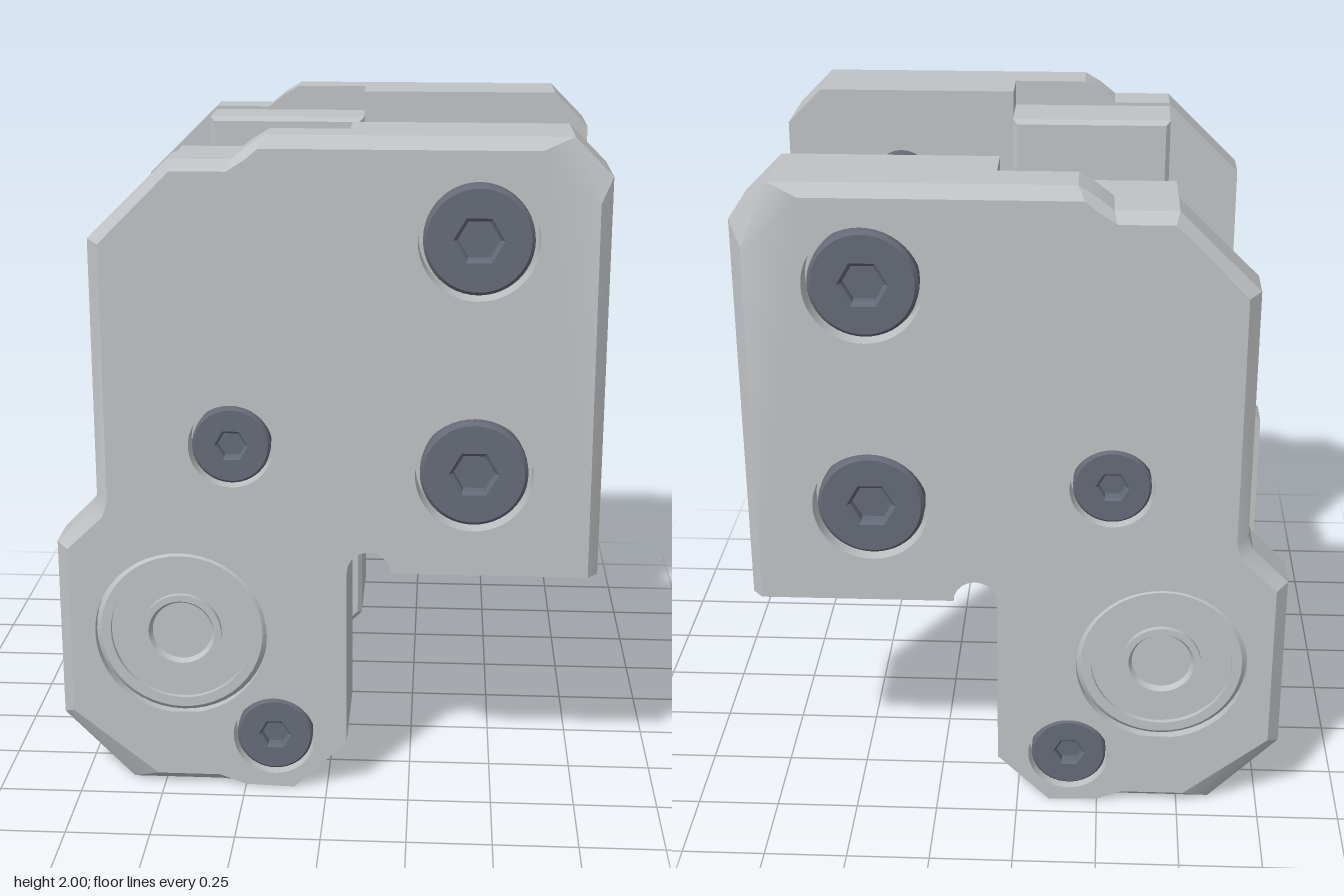
import * as THREE from 'three';
import { toCreasedNormals } from 'three/addons/utils/BufferGeometryUtils.js';

const metal = new THREE.MeshStandardMaterial({ color: 0xc0c2c4 });
metal.name = 'light grey metal';
const steel = new THREE.MeshStandardMaterial({ color: 0x666b78 });
steel.name = 'dark screw steel';

// Plate outline: x, y at the side wall, then x, y at the chamfered face
const OUTLINE = [
  [0.8, 0.71, 0.77, 0.71], [0.8, 1.89, 0.765, 1.82], [0.69, 2, 0.6, 1.965],
  [-0.17, 2, -0.19, 1.965], [-0.22, 1.97, -0.225, 1.935], [-0.27, 1.93, -0.28, 1.9],
  [-0.45, 1.93, -0.44, 1.9], [-0.685, 1.7, -0.65, 1.69], [-0.685, 0.93, -0.65, 0.92],
  [-0.7, 0.89, -0.665, 0.87], [-0.81, 0.78, -0.775, 0.765], [-0.81, 0.22, -0.775, 0.24],
  [-0.6, 0.005, -0.52, 0.035], [-0.33, 0.005, -0.33, 0.035], [-0.27, 0, -0.25, 0.005],
  [-0.1, 0, -0.1, 0], [0.06, 0.155, 0.06, 0.155],
];
// Round relief in the inner corner
const NOTCH = [];
for (let i = 0; i <= 10; i++) {
  const a = Math.PI * (1 - i / 10);
  NOTCH.push([0.125 + 0.065 * Math.cos(a), 0.71 + 0.065 * Math.sin(a)]);
}
const FULL = [...OUTLINE, ...NOTCH.map(([x, y]) => [x, y, x, y])];

const BEARING = [-0.44, 0.5];
const IDLER = [-0.28, 1.095];
const STANDOFF = [-0.16, 0.17];
const BIG_SCREWS = [[0.43, 1.71], [0.43, 1.02]];
const SMALL_SCREWS = [IDLER, STANDOFF];

const shapeOf = (pts) => new THREE.Shape(pts.map(([x, y]) => new THREE.Vector2(x, y)));
const circle = (x, y, r, Type = THREE.Path) => new Type().absarc(x, y, r, 0, Math.PI * 2, true);
const hexPath = (r) => {
  const pts = [];
  for (let i = 0; i < 6; i++) pts.push(new THREE.Vector2(r * Math.cos(i * Math.PI / 3), r * Math.sin(i * Math.PI / 3)));
  return new THREE.Path(pts);
};

function add(parent, name, geo, mat, x = 0, y = 0) {
  const mesh = new THREE.Mesh(toCreasedNormals(geo, 0.4), mat);
  mesh.geometry.translate(x, y, 0);
  mesh.name = name;
  parent.add(mesh);
  return mesh;
}

// Flat slab between two z values
function slab(shape, z0, z1, holes = [], bevel = 0) {
  shape.holes = holes;
  const geo = new THREE.ExtrudeGeometry(shape, {
    depth: z1 - z0 - 2 * bevel, curveSegments: 24, bevelEnabled: bevel > 0,
    bevelThickness: bevel, bevelSize: bevel, bevelOffset: -bevel, bevelSegments: 1,
  });
  return geo.translate(0, 0, z0 + bevel);
}

// Turned part along z; profile is [radius, z] with z rising
const turned = (profile, segments = 48) =>
  new THREE.LatheGeometry(profile.map(([r, z]) => new THREE.Vector2(r, z)), segments).rotateX(Math.PI / 2);

const rod = (r, z0, z1, c = 0.008) =>
  turned([[0, z0], [r - c, z0], [r, z0 + c], [r, z1 - c], [r - c, z1], [0, z1]]);

// Socket head: a ring with a six-sided hole
const socketRing = (r, hex, z0, z1, bevel) => slab(circle(0, 0, r, THREE.Shape), z0, z1, [hexPath(hex)], bevel);

function buildSide() {
  const side = new THREE.Group();
  const bearingHole = () => circle(...BEARING, 0.26);
  const allHoles = () => [
    bearingHole(),
    ...BIG_SCREWS.map(([x, y]) => circle(x, y, 0.172)),
    ...SMALL_SCREWS.map(([x, y]) => circle(x, y, 0.125)),
  ];

  // Plate in three layers; the outer one tapers to the chamfered face
  add(side, 'plateBase', slab(shapeOf(FULL), 0.52, 0.6, [bearingHole()]), metal);
  add(side, 'plateMiddle', slab(shapeOf(FULL), 0.6, 0.65, allHoles()), metal);
  const face = slab(shapeOf(FULL), 0.65, 0.685, allHoles());
  const p = face.attributes.position;
  for (let i = 0; i < p.count; i++) {
    if (p.getZ(i) < 0.68) continue;
    const hit = FULL.find(([x, y]) => Math.hypot(x - p.getX(i), y - p.getY(i)) < 1e-4);
    if (hit) p.setXY(i, hit[2], hit[3]);
  }
  add(side, 'plateFace', face, metal);

  // Thick mounting block for the two big screws
  const block = [[0.06, 2], ...NOTCH, [0.8, 0.71], [0.8, 1.89], [0.69, 2]];
  add(side, 'mountingBlock', slab(shapeOf(block), 0.375, 0.52), metal);

  // Inner boss, cut away round the drive pulley
  const boss = [[0.06, 0.155], [0.06, 1.92], [-0.45, 1.92]];
  for (let i = 0; i <= 16; i++) {
    const a = 1.59 - i * (2.75 / 16);
    boss.push([BEARING[0] + 0.31 * Math.cos(a), BEARING[1] + 0.31 * Math.sin(a)]);
  }
  boss.push([-0.31, 0.005], [-0.27, 0], [-0.1, 0]);
  add(side, 'innerBoss', slab(shapeOf(boss.reverse()), 0.32, 0.535, [], 0.014), metal);

  // Bearing with the shaft end
  add(side, 'bearing', turned([
    [0, 0.525], [0.12, 0.525], [0.12, 0.535], [0.21, 0.535], [0.21, 0.525], [0.26, 0.525],
    [0.26, 0.655], [0.245, 0.67], [0.215, 0.67], [0.215, 0.655], [0.12, 0.655],
    [0.12, 0.672], [0.1, 0.672], [0.09, 0.655], [0, 0.655],
  ]), metal, ...BEARING);

  // Screws
  for (const [x, y] of BIG_SCREWS) {
    add(side, 'mountingScrew', turned([[0, 0.19], [0.07, 0.19], [0.09, 0.21], [0.09, 0.605],
      [0.155, 0.605], [0.155, 0.635], [0, 0.635]]), steel, x, y);
    add(side, 'mountingScrewHead', socketRing(0.158, 0.062, 0.625, 0.675, 0.01), steel, x, y);
  }
  for (const [x, y] of SMALL_SCREWS) {
    add(side, 'smallScrew', rod(0.112, 0.59, 0.64, 0.002), steel, x, y);
    add(side, 'smallScrewHead', socketRing(0.115, 0.042, 0.63, 0.675, 0.007), steel, x, y);
  }
  return side;
}

// Mirrored copy in z with the corner order restored
function mirrorZ(group) {
  const out = new THREE.Group();
  for (const mesh of group.children) {
    const geo = mesh.geometry.clone().scale(1, 1, -1);
    for (const { array, itemSize: n } of Object.values(geo.attributes)) {
      for (let i = 0; i < array.length; i += 3 * n) {
        for (let k = 0; k < n; k++) {
          [array[i + n + k], array[i + 2 * n + k]] = [array[i + 2 * n + k], array[i + n + k]];
        }
      }
    }
    const copy = new THREE.Mesh(geo, mesh.material);
    copy.name = mesh.name;
    out.add(copy);
  }
  return out;
}

function buildPulley() {
  const g = new THREE.Group();
  add(g, 'pulleyHub', rod(0.272, -0.035, 0.24, 0.012), metal, ...BEARING);
  // Toothed belt section
  const teeth = [];
  const count = 20;
  for (let i = 0; i < count; i++) {
    for (const [f, r] of [[0.03, 0.185], [0.12, 0.225], [0.7, 0.225], [0.79, 0.185]]) {
      const a = (i + f) / count * Math.PI * 2;
      teeth.push([r * Math.cos(a), r * Math.sin(a)]);
    }
  }
  add(g, 'pulleyTeeth', slab(shapeOf(teeth), -0.46, -0.03), metal, ...BEARING);
  add(g, 'pulleyFlange', rod(0.272, -0.5, -0.455), metal, ...BEARING);
  add(g, 'rearSpacer', rod(0.15, -0.53, -0.49), metal, ...BEARING);
  add(g, 'hubShoulder', rod(0.18, 0.235, 0.256, 0.004), metal, ...BEARING);
  add(g, 'frontSpacer', rod(0.145, 0.25, 0.53), metal, ...BEARING);
  // Set screws on the side and underneath
  for (const turn of ['side', 'under']) {
    const geo = socketRing(0.075, 0.052, 0.25, 0.276, 0.004);
    if (turn === 'side') geo.rotateY(Math.PI / 2);
    else geo.rotateX(Math.PI / 2);
    add(g, 'setScrew', geo.translate(0, 0, 0.1), metal, ...BEARING);
  }
  return g;
}

function buildIdler() {
  const g = new THREE.Group();
  add(g, 'idlerShaft', rod(0.092, -0.33, 0.33), metal, ...IDLER);
  add(g, 'idlerWasher', rod(0.145, -0.005, 0.07), metal, ...IDLER);
  add(g, 'idlerFlange', rod(0.275, -0.035, 0, 0.006), metal, ...IDLER);
  add(g, 'idlerRoller', turned([
    [0, -0.46], [0.24, -0.46], [0.24, -0.158], [0.23, -0.155], [0.23, -0.148],
    [0.235, -0.145], [0.235, -0.03], [0, -0.03],
  ]), metal, ...IDLER);
  return g;
}

export function createModel() {
  const model = new THREE.Group();
  model.name = 'beltTensioner';
  const front = buildSide();
  front.name = 'frontPlate';
  const back = mirrorZ(front);
  back.name = 'backPlate';
  const pulley = buildPulley();
  pulley.name = 'drivePulley';
  const idler = buildIdler();
  idler.name = 'idler';
  model.add(front, back, pulley, idler);
  add(model, 'standoff', rod(0.09, -0.33, 0.33), metal, ...STANDOFF);
  return model;
}
